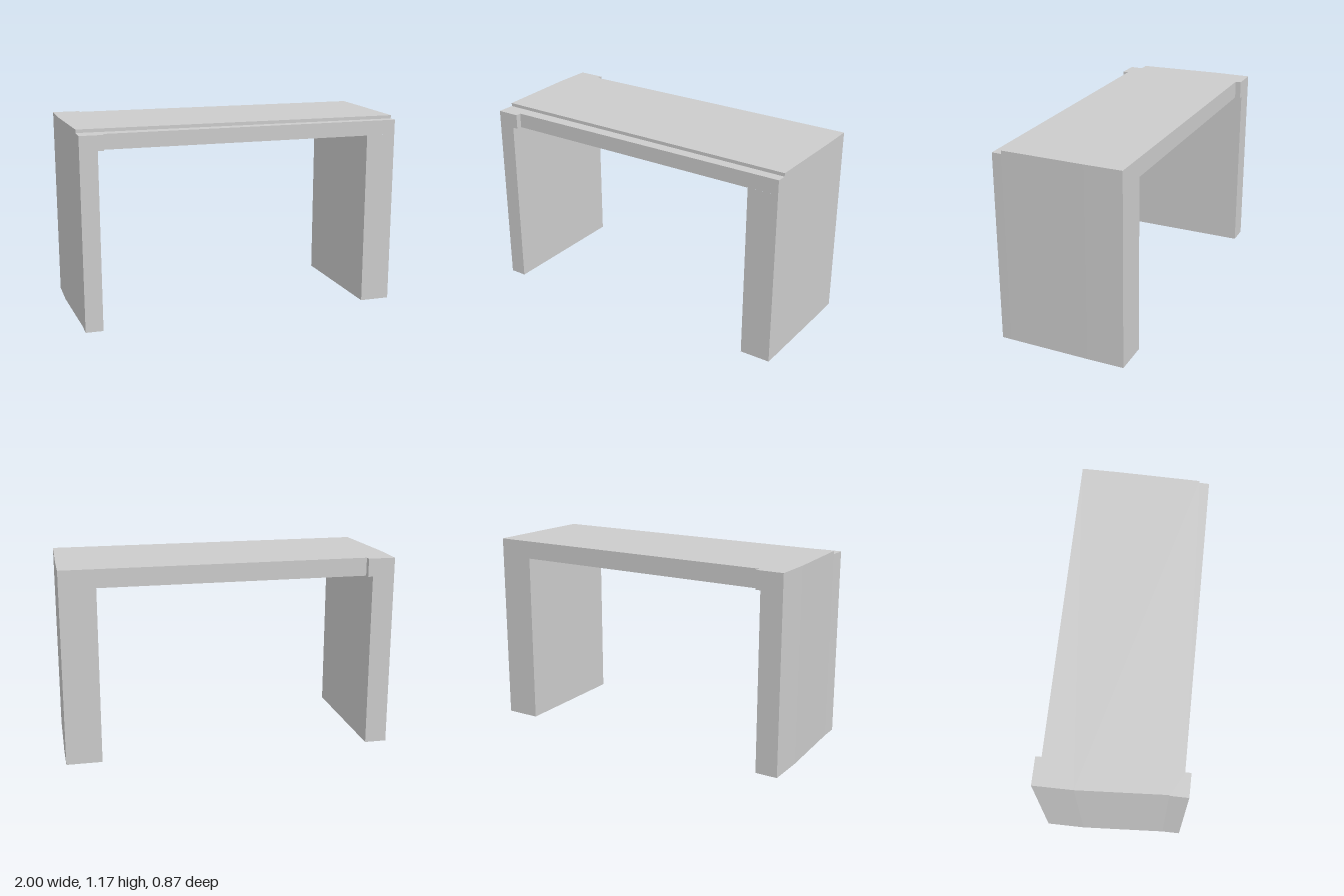
import * as THREE from 'three';
import { mergeGeometries } from 'three/addons/utils/BufferGeometryUtils.js';

const LEG_TOP = 1.065, LEDGE = 1.155, TOP = 1.175;

// Plan corners as [x, z], clockwise seen from above
const A = [-1, -0.435], B = [-0.835, -0.435], C = [-0.835, -0.4];
const D = [1, -0.405], E = [1, -0.18], M = [0.992, 0.32], F = [0.99, 0.38];
const G = [-0.83, 0.395], H = [-0.83, 0.43], I = [-0.97, 0.43];
const J = [-0.97, 0.32], K = [-1, -0.2];
// Inner corners of the two legs
const LB = [-0.865, -0.435], LF = [-0.865, 0.43];
const RB = [0.785, -0.404], RF = [0.805, 0.382];

// Vertical faces around a closed plan outline
function sides(ring, y0, y1) {
  const pos = [];
  ring.forEach((p, i) => {
    const q = ring[(i + 1) % ring.length];
    const a0 = [p[0], y0, p[1]], a1 = [p[0], y1, p[1]];
    const b0 = [q[0], y0, q[1]], b1 = [q[0], y1, q[1]];
    pos.push(...a0, ...a1, ...b1, ...a0, ...b1, ...b0);
  });
  const g = new THREE.BufferGeometry();
  g.setAttribute('position', new THREE.Float32BufferAttribute(pos, 3));
  g.computeVertexNormals();
  return g;
}

// Flat horizontal face; s = 1 faces up, s = -1 faces down
function cap(ring, y, s) {
  const shape = new THREE.Shape(ring.map(([x, z]) => new THREE.Vector2(x, -s * z)));
  const g = new THREE.ShapeGeometry(shape).toNonIndexed();
  g.deleteAttribute('uv');
  return g.rotateX(-s * Math.PI / 2).translate(0, y, 0);
}

export function createModel() {
  const group = new THREE.Group();
  const material = new THREE.MeshStandardMaterial({ color: 0xcccccc, flatShading: true });
  const add = (name, ...parts) => {
    const mesh = new THREE.Mesh(mergeGeometries(parts), material);
    mesh.name = name;
    group.add(mesh);
  };

  // Side walls, thin on one side and thick on the other
  const rightLeg = [A, LB, LF, I, J, K];
  const leftLeg = [RB, D, E, M, F, RF];
  add('rightWall', sides(rightLeg, 0, LEG_TOP), cap(rightLeg, 0, -1));
  add('leftWall', sides(leftLeg, 0, LEG_TOP), cap(leftLeg, 0, -1));

  // Lintel slab with its corner blocks, underside and front ledge
  add('lintel',
    sides([A, B, C, D, E, M, F, G, H, I, J, K], LEG_TOP, LEDGE),
    cap([LB, B, C, RB, RF, G, H, LF], LEG_TOP, -1),
    cap([J, M, F, G, H, I], LEDGE, 1));

  // Raised roof set back from the front
  const roof = [A, B, C, D, E, M, J, K];
  add('roof', sides(roof, LEDGE, TOP), cap(roof, TOP, 1));

  return group;
}
